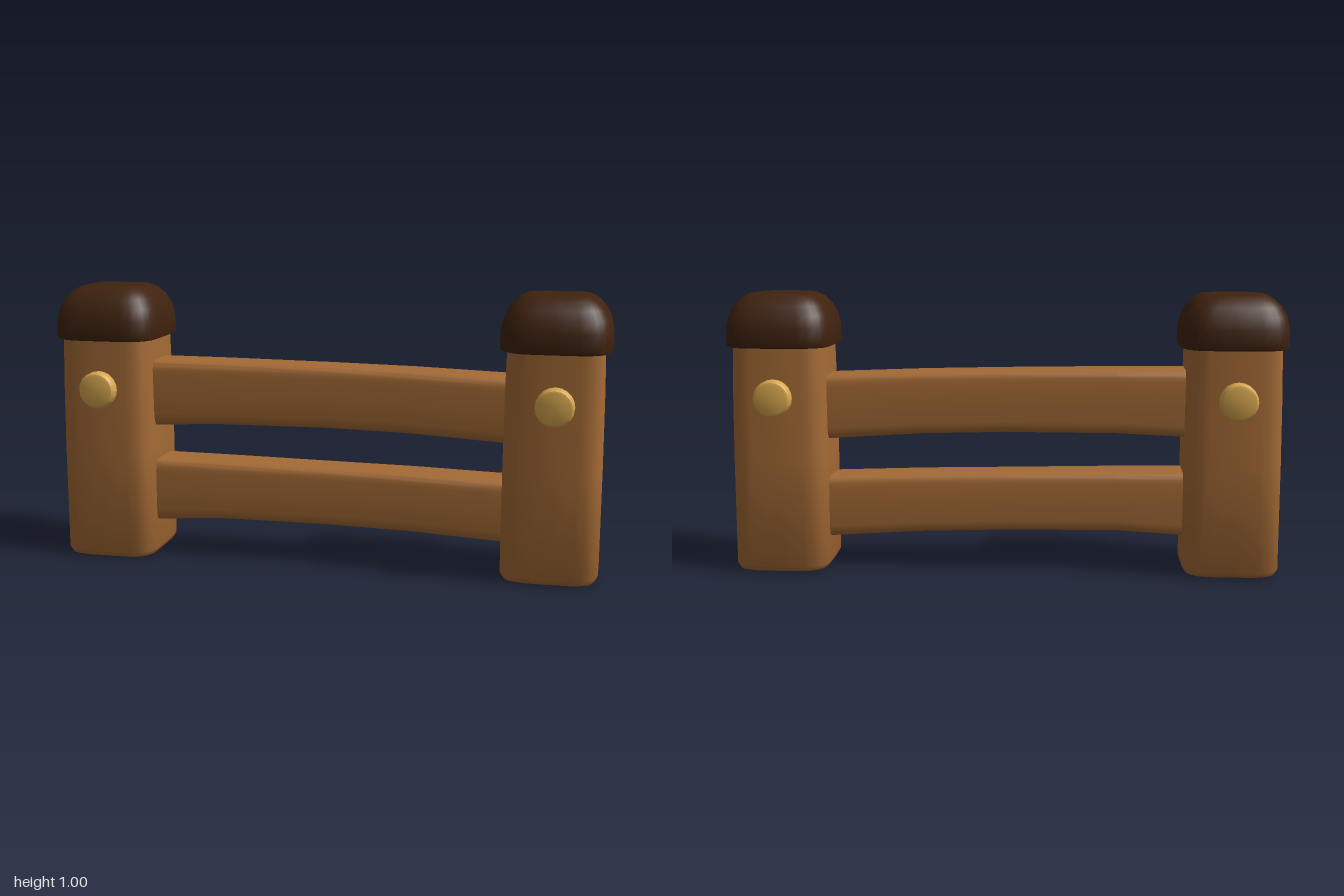
import * as THREE from 'three';
import { toCreasedNormals } from 'three/addons/utils/BufferGeometryUtils.js';

const SIDES = 32;

// Rounded-square outline of half sizes a, b; a higher power gives tighter corners.
function outline(a, b, power) {
  const bend = (t) => Math.sign(t) * Math.abs(t) ** (2 / power);
  return Array.from({ length: SIDES }, (_, k) => {
    const t = (k / SIDES) * Math.PI * 2;
    return [a * bend(Math.cos(t)), b * bend(Math.sin(t))];
  });
}

// Skins a list of rings and closes both ends.
function loft(rings, crease) {
  const pos = [];
  const tri = (...pts) => pts.forEach((p) => pos.push(...p));
  const middle = (ring) => [0, 1, 2].map((i) => ring.reduce((s, p) => s + p[i], 0) / SIDES);
  const first = rings[0], last = rings[rings.length - 1];
  const start = middle(first), end = middle(last);
  for (let k = 0; k < SIDES; k++) {
    const n = (k + 1) % SIDES;
    for (let r = 0; r < rings.length - 1; r++) {
      const lo = rings[r], hi = rings[r + 1];
      tri(lo[k], lo[n], hi[n]);
      tri(lo[k], hi[n], hi[k]);
    }
    tri(start, first[n], first[k]);
    tri(end, last[k], last[n]);
  }
  const geo = new THREE.BufferGeometry();
  geo.setAttribute('position', new THREE.Float32BufferAttribute(pos, 3));
  return toCreasedNormals(geo, crease);
}

// Upright block from rows of [y, half width, half depth].
function upright(rows, power) {
  return loft(rows.map(([y, hx, hz]) =>
    outline(hz, hx, power).map(([z, x]) => [x, y, z])), 0.75);
}

// Rail from rows of [x, bottom, top, centre z, half depth].
function rail(rows) {
  return loft(rows.map(([x, bottom, top, cz, hz]) =>
    outline((top - bottom) / 2, hz, 7).map(([y, z]) => [x, (top + bottom) / 2 + y, cz + z])), 0.75);
}

export function createModel() {
  const colour = (name, color) => {
    const m = new THREE.MeshStandardMaterial({ color });
    m.name = name;
    return m;
  };
  const wood = colour('wood', 0xa46a35);
  const darkWood = colour('darkWood', 0x3f220e);
  const paleWood = colour('paleWood', 0xd6a64d);

  const model = new THREE.Group();
  model.name = 'fence';
  const add = (parent, name, geo, mat) => {
    const mesh = new THREE.Mesh(geo, mat);
    mesh.name = name;
    parent.add(mesh);
    return mesh;
  };

  const postGeo = upright([
    [0, 0.148, 0.16], [0.006, 0.162, 0.175], [0.025, 0.172, 0.185],
    [0.4, 0.172, 0.185], [0.65, 0.17, 0.182], [0.84, 0.166, 0.176],
  ], 5);
  const capGeo = upright([
    [0.808, 0.18, 0.184], [0.812, 0.19, 0.194], [0.825, 0.193, 0.198],
    [0.88, 0.191, 0.194], [0.92, 0.182, 0.184], [0.955, 0.163, 0.165],
    [0.98, 0.139, 0.141], [0.995, 0.112, 0.114], [0.999, 0.07, 0.07], [1.0, 0.03, 0.03],
  ], 4);
  const pegGeo = toCreasedNormals(new THREE.LatheGeometry(
    [[0, 0.15], [0.067, 0.15], [0.067, 0.208], [0.06, 0.219], [0.052, 0.222], [0, 0.222]]
      .map(([r, y]) => new THREE.Vector2(r, y)), 20), 0.6);
  pegGeo.rotateX(Math.PI / 2);

  // Posts with a cap and a peg on both faces
  for (const side of [-1, 1]) {
    const label = side > 0 ? 'left' : 'right';
    const post = new THREE.Group();
    post.name = label + 'Post';
    post.position.x = side * 0.807;
    add(post, label + 'PostBody', postGeo, wood);
    add(post, label + 'PostCap', capGeo, darkWood);
    for (const face of ['front', 'back']) {
      const peg = add(post, label + face + 'Peg', pegGeo, paleWood);
      peg.position.set(side * 0.007, 0.633, 0);
      if (face === 'back') peg.rotation.y = Math.PI;
    }
    model.add(post);
  }

  // Slightly bowed rails
  add(model, 'upperRail', rail([
    [-0.68, 0.485, 0.73, 0.005, 0.094], [-0.4, 0.498, 0.729, 0.002, 0.091],
    [0, 0.5, 0.724, -0.004, 0.089], [0.3, 0.493, 0.718, -0.008, 0.089],
    [0.68, 0.47, 0.704, -0.012, 0.091],
  ]), wood);
  add(model, 'lowerRail', rail([
    [-0.68, 0.125, 0.362, 0.005, 0.094], [-0.4, 0.143, 0.359, 0.002, 0.091],
    [0, 0.141, 0.352, -0.004, 0.089], [0.3, 0.133, 0.347, -0.008, 0.089],
    [0.68, 0.111, 0.335, -0.012, 0.091],
  ]), wood);

  return model;
}
